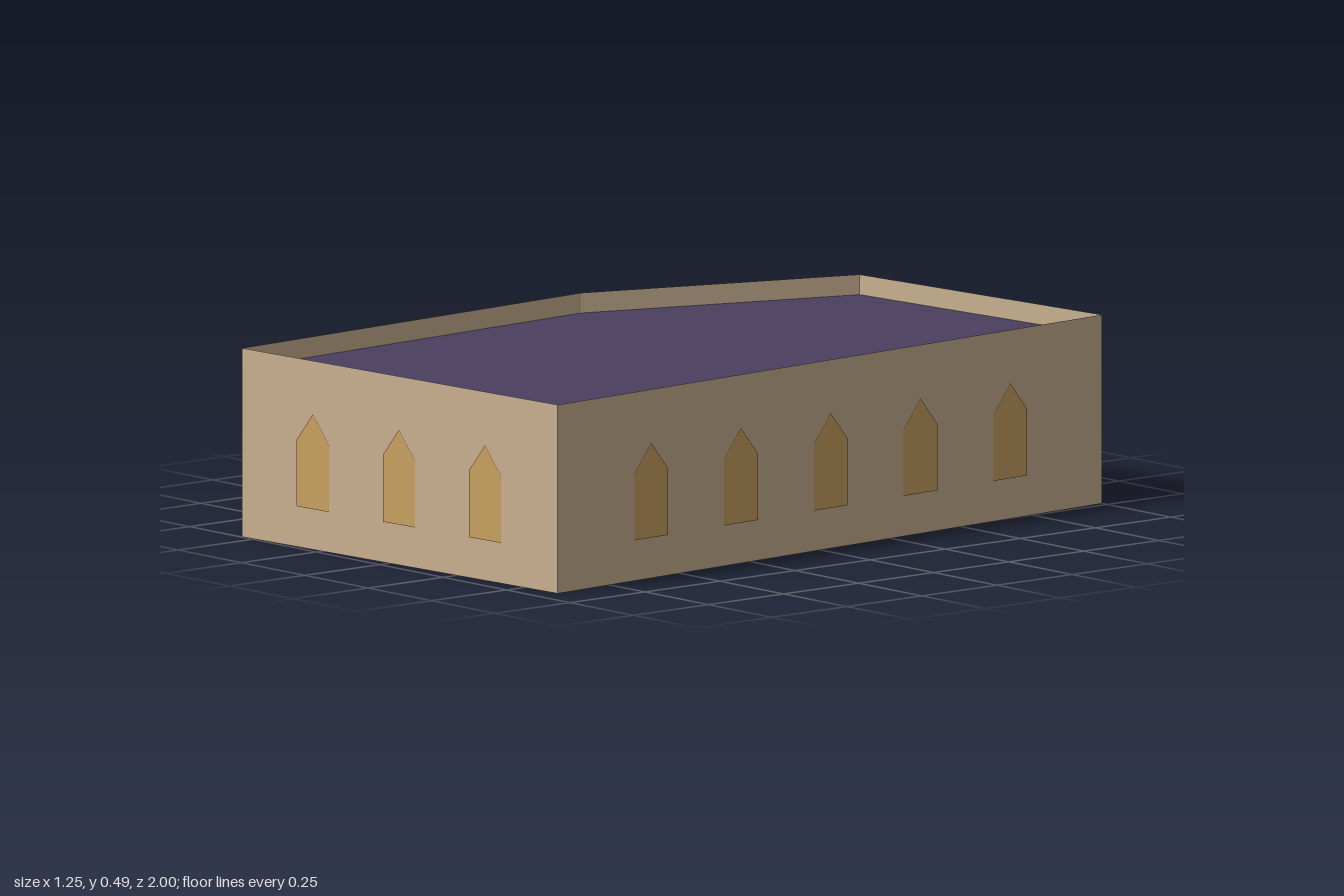
import * as THREE from 'three';

const HEIGHT = 0.487, ROOF_Y = 0.435, WINDOW_STEP = 0.32;

// Footprint corners [x, z], each with the window count of the wall that starts there
const corners = [
  { x: -0.547, z: 0.997, windows: 3, name: 'frontWall' },
  { x: 0.625, z: 0.935, windows: 5, name: 'leftWall' },
  { x: 0.48, z: -1.0, windows: 2, name: 'backWall' },
  { x: -0.382, z: -0.92, windows: 2, name: 'angledWall' },
  { x: -0.627, z: -0.2, windows: 3, name: 'rightWall' },
];

export function createModel() {
  const stone = new THREE.MeshStandardMaterial({ color: 0xc8b090, side: THREE.DoubleSide });
  stone.name = 'sandstone';
  const glass = new THREE.MeshStandardMaterial({ color: 0xc8a060 });
  glass.name = 'amberWindow';
  const slate = new THREE.MeshStandardMaterial({ color: 0x4a4060, side: THREE.DoubleSide });
  slate.name = 'purpleRoof';

  const model = new THREE.Group();
  model.name = 'building';

  // Pointed window outline
  const windowGeometry = new THREE.ShapeGeometry(new THREE.Shape([
    [-0.06, 0.105], [0.06, 0.105], [0.06, 0.277], [0, 0.35], [-0.06, 0.277],
  ].map(([x, y]) => new THREE.Vector2(x, y))));

  // One thin wall per footprint edge, with evenly spaced windows on its outside
  corners.forEach((a, i) => {
    const b = corners[(i + 1) % corners.length];
    const dx = b.x - a.x, dz = b.z - a.z;
    const side = new THREE.Group();
    side.name = a.name;
    side.position.set((a.x + b.x) / 2, 0, (a.z + b.z) / 2);
    side.rotation.y = Math.atan2(-dz, dx);

    const wall = new THREE.Mesh(new THREE.PlaneGeometry(Math.hypot(dx, dz), HEIGHT), stone);
    wall.name = 'wall';
    wall.position.y = HEIGHT / 2;
    side.add(wall);

    for (let k = 0; k < a.windows; k++) {
      const pane = new THREE.Mesh(windowGeometry, glass);
      pane.name = 'window';
      pane.position.set((k - (a.windows - 1) / 2) * WINDOW_STEP, 0, 0.003);
      side.add(pane);
    }
    model.add(side);
  });

  // Flat roof set below the parapet; the underside stays open
  const roofShape = new THREE.Shape(corners.map(c => new THREE.Vector2(c.x, -c.z)));
  const roof = new THREE.Mesh(new THREE.ShapeGeometry(roofShape).rotateX(-Math.PI / 2), slate);
  roof.name = 'roof';
  roof.position.y = ROOF_Y;
  model.add(roof);

  return model;
}
